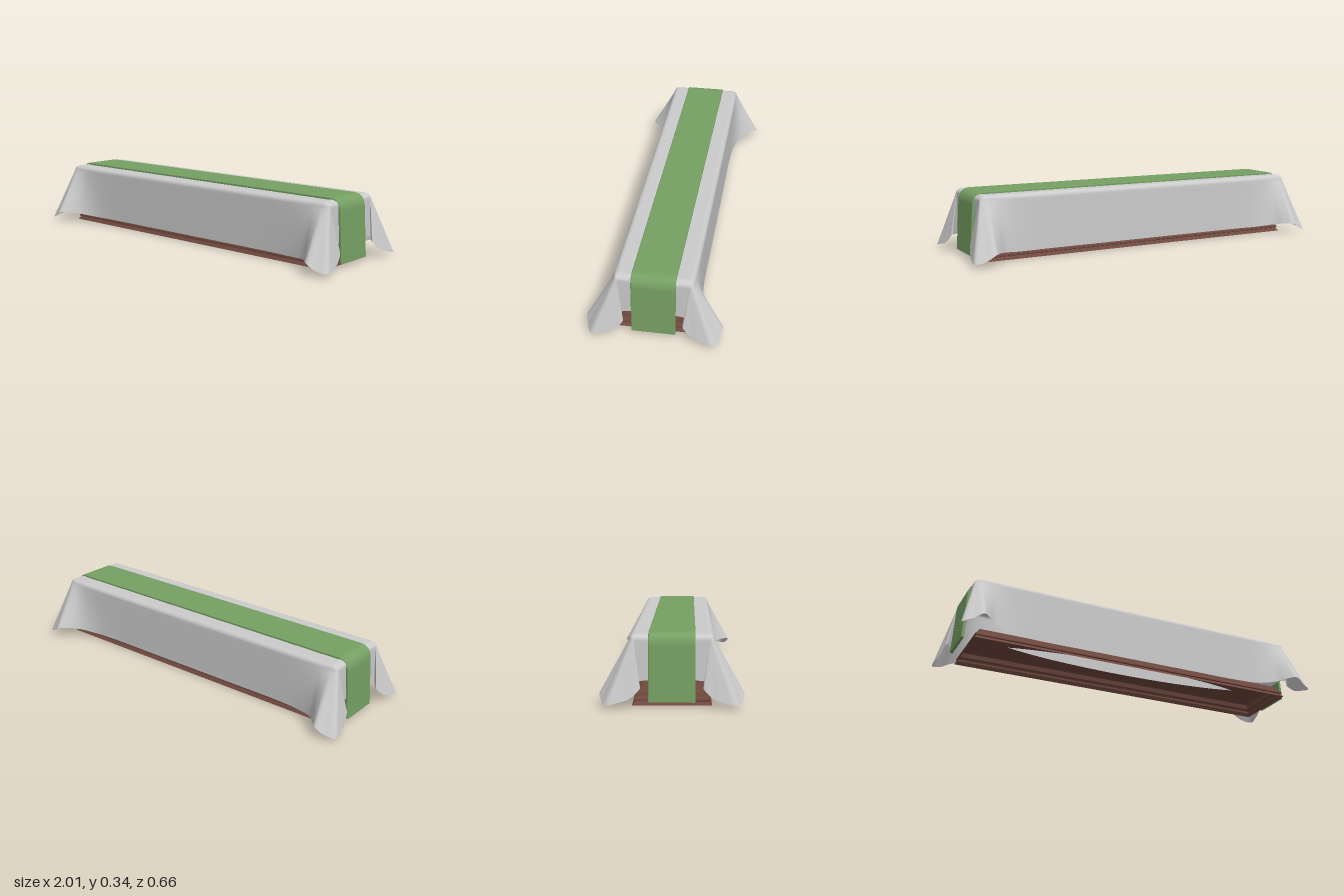
import * as THREE from 'three';

const mat = (color) => new THREE.MeshStandardMaterial({ color, side: THREE.DoubleSide });

function add(group, name, geometry, material) {
  const mesh = new THREE.Mesh(geometry, material);
  mesh.name = name;
  group.add(mesh);
  return mesh;
}

function indexed(positions, index) {
  const g = new THREE.BufferGeometry();
  g.setAttribute('position', new THREE.Float32BufferAttribute(positions, 3));
  g.setIndex(index);
  return g;
}

// One quarter of the cloth, from the middle of the long side to the middle of the end.
// Each control point: shoulder x, z, then hem x, y, z.
const CLOTH = [
  [0, .195, 0, .04, .195], [.3, .195, .3, .04, .195], [.6, .195, .6, .04, .196],
  [.74, .195, .73, .042, .21], [.82, .195, .82, .052, .245], [.87, .195, .872, .062, .3],
  [.895, .194, .905, .06, .33], [.915, .19, .95, .032, .32], [.925, .182, 1, .018, .295],
  [.927, .178, .996, .03, .24], [.927, .176, .985, .045, .19], [.927, .175, .965, .092, .142],
  [.927, .172, .945, .088, .168], [.927, .165, .931, .1, .182], [.927, .14, .929, .115, .15],
  [.927, .1, .928, .12, .1], [.927, 0, .928, .12, 0],
];

function clothQuarter(mx, mz) {
  const shoulder = new THREE.CatmullRomCurve3(CLOTH.map((p) => new THREE.Vector3(p[0], .305, p[1])));
  const hem = new THREE.CatmullRomCurve3(CLOTH.map((p) => new THREE.Vector3(p[2], p[3], p[4])));
  const cols = 112, flat = 3, arc = 6, drop = 16, rows = flat + arc + drop;
  const pos = [], index = [];
  for (let r = 0; r <= rows; r++) {
    for (let c = 0; c <= cols; c++) {
      const s = shoulder.getPoint(c / cols), h = hem.getPoint(c / cols);
      const inner = new THREE.Vector3(Math.min(s.x, .885), .33, Math.min(s.z, .168));
      let p;
      if (r <= flat) {            // top, sagging slightly to the middle
        p = inner;
        p.z *= r / flat;
        p.y -= .004 * (1 - (r / flat) ** 2);
      } else if (r <= flat + arc) { // rounded edge
        const a = (r - flat) / arc * Math.PI / 2;
        p = inner.lerp(s, Math.sin(a));
        p.y = .305 + .025 * Math.cos(a);
      } else {                    // hanging side with the corner fold
        p = s.lerp(h, (r - flat - arc) / drop);
      }
      pos.push(p.x * mx, p.y, p.z * mz);
    }
  }
  const w = cols + 1;
  for (let r = 0; r < rows; r++) for (let c = 0; c < cols; c++) {
    const a = r * w + c, b = a + w;
    if (mx * mz > 0) index.push(a, b, a + 1, a + 1, b, b + 1);
    else index.push(a, a + 1, b, a + 1, b + 1, b);
  }
  const g = indexed(pos, index);
  g.computeVertexNormals();
  return g;
}

// Stacked rectangular moulding rings: [half depth, height]
function mouldingGeometry() {
  const profile = [[.183, 0], [.171, .017], [.177, .02], [.176, .029], [.171, .036],
    [.161, .038], [.154, .06], [.149, .065]];
  const pos = [], index = [];
  for (const [d, y] of profile) {
    const x = d + .725;
    pos.push(x, y, d, x, y, -d, -x, y, -d, -x, y, d);
  }
  for (let r = 0; r < profile.length - 1; r++) for (let k = 0; k < 4; k++) {
    const a = r * 4 + k, b = r * 4 + (k + 1) % 4;
    index.push(a, b, a + 4, b, b + 4, a + 4);
  }
  const g = indexed(pos, index).toNonIndexed();
  g.computeVertexNormals();
  return g;
}

// Flat top of the plinth with a long pointed opening
function panelGeometry() {
  const x = .874, z = .149;
  const s = new THREE.Shape();
  s.moveTo(-x, -z).lineTo(x, -z).lineTo(x, z).lineTo(-x, z).closePath();
  const hole = new THREE.Path();
  hole.moveTo(-.68, 0).bezierCurveTo(-.35, .09, .35, .09, .68, 0);
  hole.bezierCurveTo(.35, -.09, -.35, -.09, -.68, 0);
  s.holes.push(hole);
  return new THREE.ShapeGeometry(s, 24).rotateX(-Math.PI / 2).translate(0, .065, 0);
}

// Runner: a thin band over the top and down both ends
function runnerGeometry() {
  const s = new THREE.Shape();
  s.moveTo(-.952, .027).lineTo(-.936, .28);
  s.quadraticCurveTo(-.93, .335, -.875, .335).lineTo(.875, .335);
  s.quadraticCurveTo(.93, .335, .936, .28).lineTo(.952, .027);
  s.lineTo(.945, .027).lineTo(.929, .28);
  s.quadraticCurveTo(.923, .328, .875, .328).lineTo(-.875, .328);
  s.quadraticCurveTo(-.923, .328, -.929, .28).lineTo(-.945, .027).closePath();
  return new THREE.ExtrudeGeometry(s, {
    depth: .204, bevelEnabled: true, bevelSize: .004, bevelThickness: .005,
    bevelSegments: 3, curveSegments: 16,
  }).translate(0, 0, -.102);
}

export function createModel() {
  const model = new THREE.Group();
  model.name = 'drapedTable';
  const grey = mat(0xcccccc), brown = mat(0x70493f), green = mat(0x76a063);

  const plinth = new THREE.Group();
  plinth.name = 'plinth';
  add(plinth, 'plinthMoulding', mouldingGeometry(), brown);
  add(plinth, 'plinthPanel', panelGeometry(), brown);

  const cloth = new THREE.Group();
  cloth.name = 'tablecloth';
  for (const mx of [1, -1]) for (const mz of [1, -1]) {
    const name = `cloth${mz > 0 ? 'Front' : 'Back'}${mx > 0 ? 'Left' : 'Right'}`;
    add(cloth, name, clothQuarter(mx, mz), grey);
  }

  model.add(plinth, cloth);
  add(model, 'runner', runnerGeometry(), green);
  return model;
}
